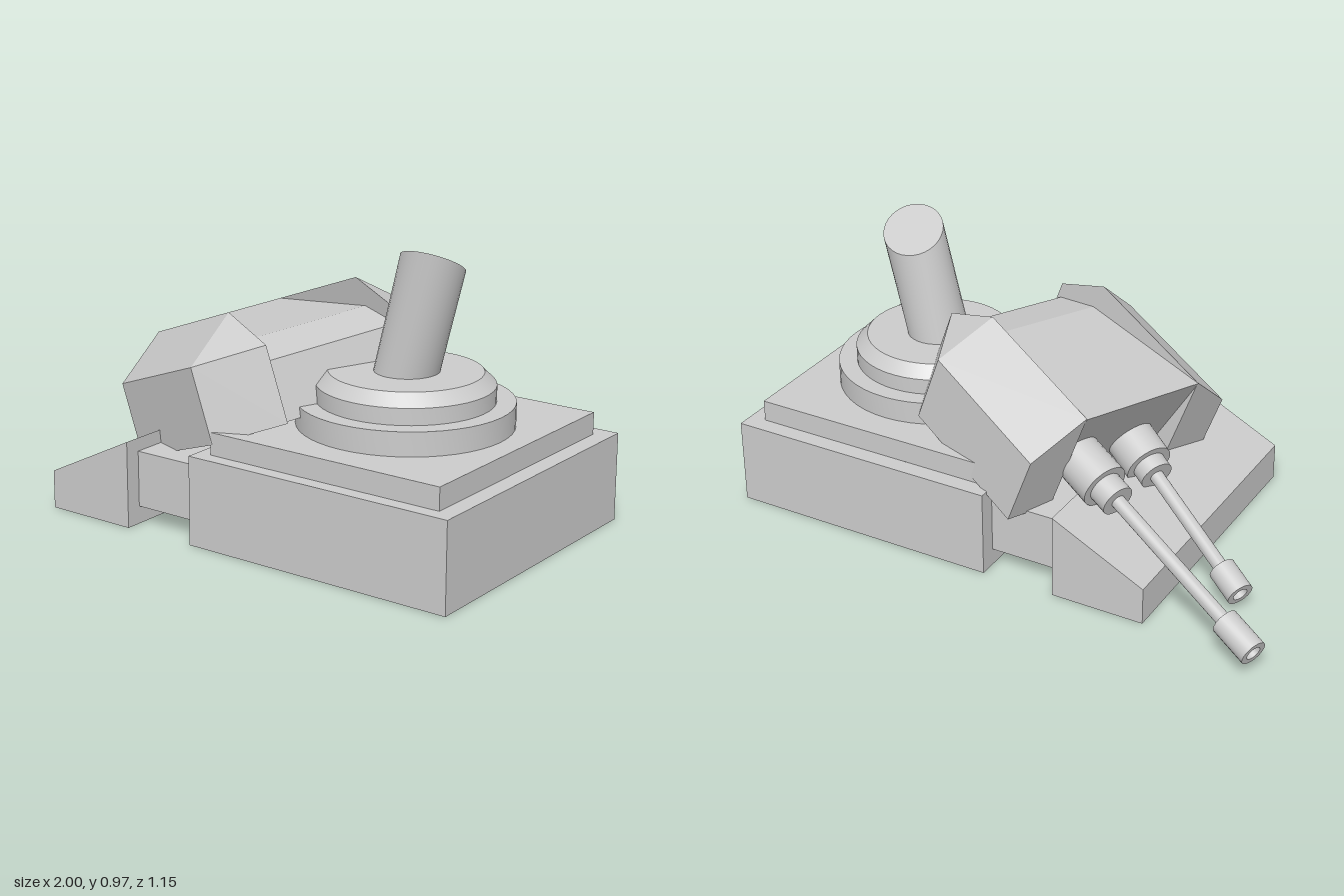
import * as THREE from 'three';
import { toCreasedNormals } from 'three/addons/utils/BufferGeometryUtils.js';
import { ConvexGeometry } from 'three/addons/geometries/ConvexGeometry.js';

const V = (x, y, z) => new THREE.Vector3(x, y, z);

export function createModel() {
  const model = new THREE.Group();
  const mat = new THREE.MeshStandardMaterial({ color: 0xcccccc, side: THREE.DoubleSide });
  const add = (parent, name, geometry) => {
    const mesh = new THREE.Mesh(geometry, mat);
    mesh.name = name;
    parent.add(mesh);
    return mesh;
  };

  // Hollow block without a floor; the lid is optional
  const shell = (name, x0, x1, y0, y1, z0, z1, lid = true) => {
    const g = new THREE.BoxGeometry(x1 - x0, y1 - y0, z1 - z0);
    const i = Array.from(g.index.array);
    g.setIndex([...i.slice(0, lid ? 18 : 12), ...i.slice(24)]);
    g.clearGroups();
    g.translate((x0 + x1) / 2, (y0 + y1) / 2, (z0 + z1) / 2);
    return add(model, name, g);
  };
  const rect = (x0, x1, z0, z1, Type = THREE.Shape) => new Type([
    new THREE.Vector2(x0, -z0), new THREE.Vector2(x1, -z0),
    new THREE.Vector2(x1, -z1), new THREE.Vector2(x0, -z1)]);
  // Flat lid with an opening
  const lid = (name, y, shape, hole) => {
    shape.holes.push(hole);
    const g = new THREE.ShapeGeometry(shape, 48);
    g.rotateX(-Math.PI / 2);
    g.translate(0, y, 0);
    add(model, name, g);
  };

  // Base: main block with a stepped slab on top
  const cx = 0.51, cz = 0.06;
  shell('mainBase', 0.03, 1, 0, 0.3, -0.46, 0.57, false);
  lid('mainBaseRim', 0.3, rect(0.03, 1, -0.46, 0.57), rect(0.08, 0.94, -0.4, 0.52, THREE.Path));
  shell('upperSlab', 0.08, 0.94, 0.3, 0.375, -0.4, 0.52, false);
  const ringHole = new THREE.Path();
  ringHole.absarc(cx, -cz, 0.34, 0, Math.PI * 2);
  lid('upperSlabTop', 0.375, rect(0.08, 0.94, -0.4, 0.52), ringHole);

  // Connector and sloping front block
  shell('connector', -0.23, 0.03, 0.06, 0.25, -0.4, 0.515);
  const wedge = shell('slopedBlock', -0.56, -0.23, 0, 0.295, -0.46, 0.57).geometry;
  const wp = wedge.attributes.position;
  for (let i = 0; i < wp.count; i++) {
    if (wp.getX(i) < -0.5 && wp.getY(i) > 0.1) wp.setY(i, 0.13);
  }
  wedge.copy(toCreasedNormals(wedge, 0.3));

  // Revolved parts with sharp steps
  const lathe = (points, sides) => toCreasedNormals(
    new THREE.LatheGeometry(points.map(p => new THREE.Vector2(...p)), sides), 0.5);

  add(model, 'steppedRing', lathe([[0.34, 0.375], [0.353, 0.375], [0.353, 0.455], [0.29, 0.455],
    [0.29, 0.51], [0.25, 0.55], [0, 0.55]], 48)).position.set(cx, 0, cz);

  // Leaning post with an oblique cut at the top
  const post = new THREE.CylinderGeometry(1, 1, 1, 32);
  const pp = post.attributes.position;
  for (let i = 0; i < pp.count; i++) {
    const top = pp.getY(i) > 0;
    const z = pp.getZ(i) * (top ? 0.097 : 0.109);
    const y = top ? 0.913 + z * 0.54 : 0.54;
    pp.setXYZ(i, 0.513 + (y - 0.55) * 0.25 + pp.getX(i) * (top ? 0.112 : 0.106), y, cz + z);
  }
  add(model, 'leaningPost', toCreasedNormals(post, 0.5));

  // Fallen turret: local x = side, y = up, z = forward
  const turret = new THREE.Group();
  turret.name = 'turret';
  const side = V(-0.33, -0.1, 0.94).normalize();
  const up = V(-0.87, -0.337, -0.347).cross(side).normalize();
  const forward = side.clone().cross(up);
  turret.quaternion.setFromRotationMatrix(new THREE.Matrix4().makeBasis(side, up, forward));
  turret.position.set(0.085, 0.74, 0.1);
  model.add(turret);

  // Central body from a side profile of (up, forward)
  const profile = [[0, 0.505], [-0.1, -0.02], [-0.18, -0.17], [-0.38, -0.17], [-0.38, 0.42]];
  add(turret, 'turretBody', new ConvexGeometry(
    [-0.25, 0.25].flatMap(s => profile.map(([u, f]) => V(s, u, f)))));

  // Angled side pods with a tapered rear
  for (const m of [1, -1]) {
    const section = [[0.25, 0], [0.435, -0.136], [0.435, -0.39], [0.25, -0.39]];
    const points = [0.502, -0.01].flatMap(f => section.map(([s, u]) => V(s * m, u, f)));
    points.push(V(0.25 * m, -0.13, -0.186), V(0.25 * m, -0.385, -0.186));
    add(turret, m > 0 ? 'leftPod' : 'rightPod', new ConvexGeometry(points));
  }

  // Barrels with stepped mounts and hollow muzzles
  const barrel = (name, from, to, mount, collar, muzzle) => {
    const dir = to.clone().sub(from);
    const L = dir.length();
    const mesh = add(turret, name, lathe([[0, 0], [0.083, 0], [0.083, mount], [0.058, mount],
      [0.058, collar], [0.024, collar], [0.024, L - muzzle], [0.046, L - muzzle],
      [0.046, L], [0.026, L], [0.026, L - 0.06], [0, L - 0.06]], 24));
    mesh.position.copy(from);
    mesh.quaternion.setFromUnitVectors(V(0, 1, 0), dir.normalize());
  };
  barrel('longBarrel', V(-0.175, -0.22, 0.42), V(-0.186, -0.22, 1.375), 0.2, 0.27, 0.14);
  barrel('bentBarrel', V(0.1, -0.255, 0.43), V(0.024, -0.3, 1.13), 0.14, 0.19, 0.11);

  return model;
}
